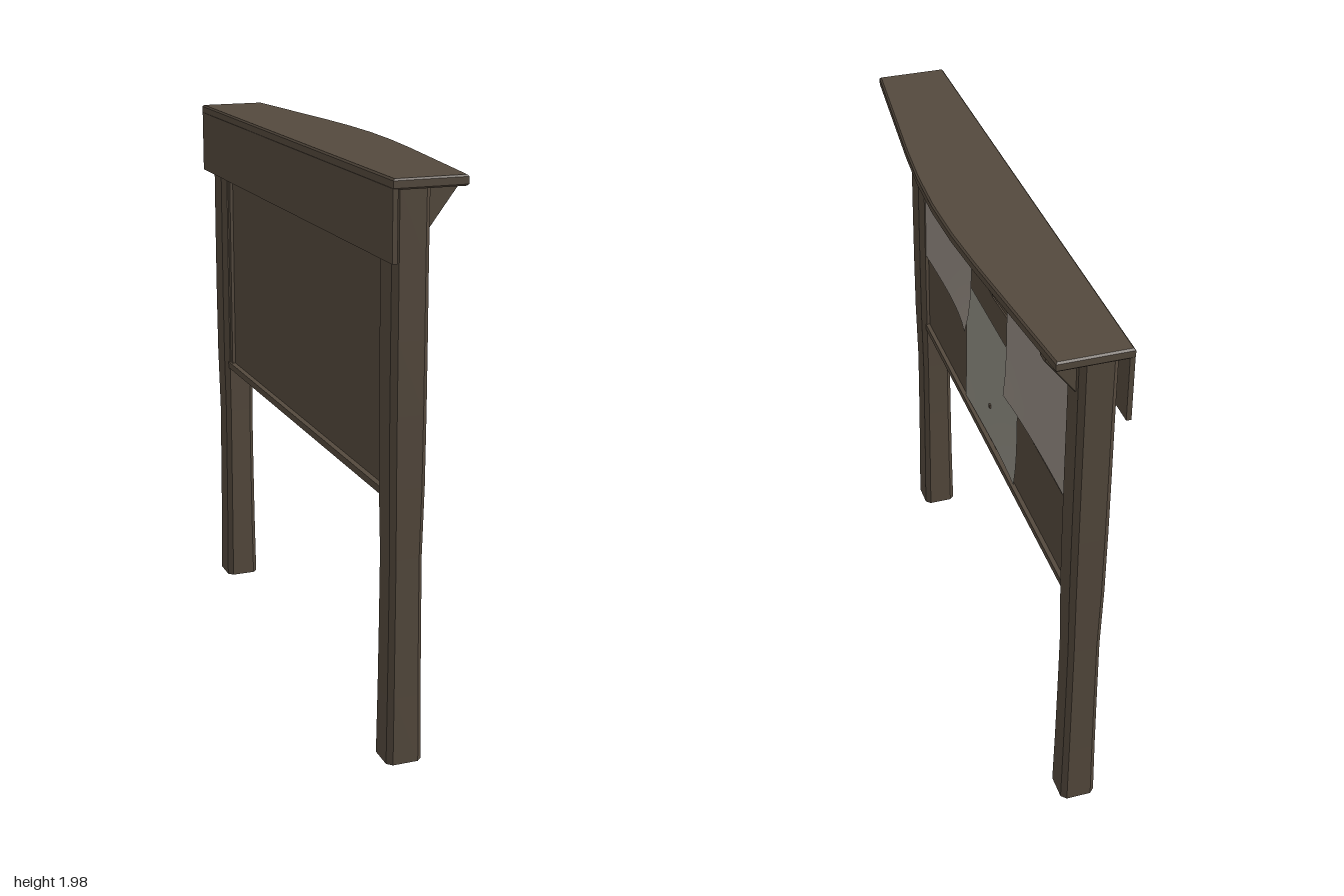
import * as THREE from 'three';

const wood = new THREE.MeshStandardMaterial({ color: 0x54493d });
wood.name = 'weathered wood';
const paper = new THREE.MeshStandardMaterial({ color: 0x958c83, side: THREE.DoubleSide });
paper.name = 'warm paper';
const oldPaper = new THREE.MeshStandardMaterial({ color: 0x918e84, side: THREE.DoubleSide });
oldPaper.name = 'grey paper';

export function createModel() {
  const model = new THREE.Group();
  model.name = 'noticeBoard';

  const add = (name, geometry, material = wood) => {
    const mesh = new THREE.Mesh(geometry, material);
    mesh.name = name;
    model.add(mesh);
    return mesh;
  };
  // box given by its limits on each axis
  const box = (name, x0, x1, y0, y1, z0, z1) =>
    add(name, new THREE.BoxGeometry(x1 - x0, y1 - y0, z1 - z0))
      .position.set((x0 + x1) / 2, (y0 + y1) / 2, (z0 + z1) / 2);
  const shapeOf = (points) => new THREE.Shape(points.map(([a, b]) => new THREE.Vector2(a, b)));

  // Roof slab with a bowed front edge
  const bow = [[1, 0.08], [0.6, 0.122], [0.4, 0.143], [0.2, 0.159], [0, 0.165],
    [-0.2, 0.159], [-0.4, 0.143], [-0.6, 0.122], [-1, 0.08]];
  const b = 0.006;
  const roofShape = shapeOf([[-0.17 + b, -1 + b], ...bow.map(([z, x]) => [x - b, z * (1 - b)]).reverse(),
    [-0.17 + b, 1 - b]]);
  const roof = new THREE.ExtrudeGeometry(roofShape,
    { depth: 0.035 - 2 * b, bevelThickness: b, bevelSize: b, bevelSegments: 1 });
  roof.rotateX(Math.PI / 2).translate(0, 1.98 - b, 0);
  add('roof', roof);
  box('backValance', -0.17, -0.153, 1.72, 1.95, -0.998, 0.998);

  // Chamfered posts, slightly waisted below the board
  const h = 0.063, c = 0.045;
  const waist = [1, 0.95, 0.92, 0.9, 0.98, 1, 1, 0.99, 1];
  const postShape = shapeOf([[h, -c], [h, c], [c, h], [-c, h], [-h, c], [-h, -c], [-c, -h], [c, -h]]);
  for (const side of [1, -1]) {
    const post = new THREE.ExtrudeGeometry(postShape, { depth: 1.95, steps: 8, bevelEnabled: false });
    post.rotateX(-Math.PI / 2);
    const p = post.attributes.position;
    for (let i = 0; i < p.count; i++) {
      const s = waist[Math.round((p.getY(i) / 1.95) * 8)];
      p.setX(i, p.getX(i) * s);
      p.setZ(i, p.getZ(i) * s);
    }
    post.computeVertexNormals();
    add(side > 0 ? 'leftPost' : 'rightPost', post).position.set(-0.082, 0, side * 0.887);

    // Triangular roof bracket
    const bracket = new THREE.ExtrudeGeometry(
      shapeOf([[-0.03, 1.8], [-0.018, 1.8], [0.08, 1.93], [0.08, 1.948], [-0.03, 1.948]]),
      { depth: 0.03, bevelThickness: 0.008, bevelSize: 0.004, bevelSegments: 1 });
    add('roofBracket', bracket).position.z = side * 0.89 - 0.015;

    // Narrow upright trim behind the board
    box('backTrim', -0.122, -0.1, 0.94, 1.945, side * 0.815 - 0.015, side * 0.815 + 0.015);
  }

  // Board: backing, rail and three planks with sagging seams
  box('backing', -0.11, -0.062, 0.94, 1.945, -0.84, 0.84);
  box('bottomRail', -0.13, -0.034, 0.92, 0.945, -0.84, 0.84);
  const plank = (y0, y1, sag0, sag1, front) => {
    const shape = shapeOf([[-0.83, y0], [-0.2, y0], [0, y0 - sag0], [0.2, y0], [0.83, y0],
      [0.83, y1], [0.2, y1], [0, y1 - sag1], [-0.2, y1], [-0.83, y1]]);
    const geometry = new THREE.ExtrudeGeometry(shape, { depth: 0.02, bevelEnabled: false });
    geometry.rotateY(-Math.PI / 2);
    add('plank', geometry).position.x = front;
  };
  plank(0.94, 1.27, 0, 0, -0.05);
  plank(1.28, 1.588, 0, 0.014, -0.052);
  plank(1.602, 1.945, 0.018, 0, -0.05);

  // Paper sheets: four corners as [z, y], with lower corners lifted off the board
  const sheet = (name, material, x, [tl, tr, bl, br], curlL, curlR) => {
    const geometry = new THREE.PlaneGeometry(1, 1, 8, 8);
    const p = geometry.attributes.position;
    for (let i = 0; i < p.count; i++) {
      const u = p.getX(i) + 0.5, v = 0.5 - p.getY(i);
      const mix = (k) => (tl[k] * (1 - u) + tr[k] * u) * (1 - v) + (bl[k] * (1 - u) + br[k] * u) * v;
      const lift = curlL * (1 - u) ** 4 * v ** 6 + curlR * u ** 4 * v ** 6;
      p.setXYZ(i, x + lift, mix(1), mix(0));
    }
    geometry.computeVertexNormals();
    add(name, geometry, material);
  };
  sheet('centrePaper', oldPaper, -0.046, [[0.29, 1.475], [-0.3, 1.475], [0.305, 0.948], [-0.305, 0.968]], 0.002, 0.012);
  sheet('leftPaper', paper, -0.041, [[0.82, 1.875], [0.22, 1.875], [0.822, 1.275], [0.21, 1.303]], 0.002, 0.03);
  sheet('rightPaper', paper, -0.041, [[-0.19, 1.875], [-0.812, 1.875], [-0.19, 1.287], [-0.815, 1.3]], 0.012, 0.004);

  // Wood splinters showing through the right sheet, and a pin in the centre one
  for (const [z, y, w, t] of [[-0.33, 1.82, 0.035, 0.008], [-0.42, 1.755, 0.07, 0.018],
    [-0.455, 1.69, 0.05, 0.006], [-0.58, 1.775, 0.03, 0.005], [-0.66, 1.82, 0.02, 0.005], [0, 1.105, 0.012, 0.014]]) {
    box('splinter', -0.046, -0.0395, y - t / 2, y + t / 2, z - w / 2, z + w / 2);
  }
  return model;
}
